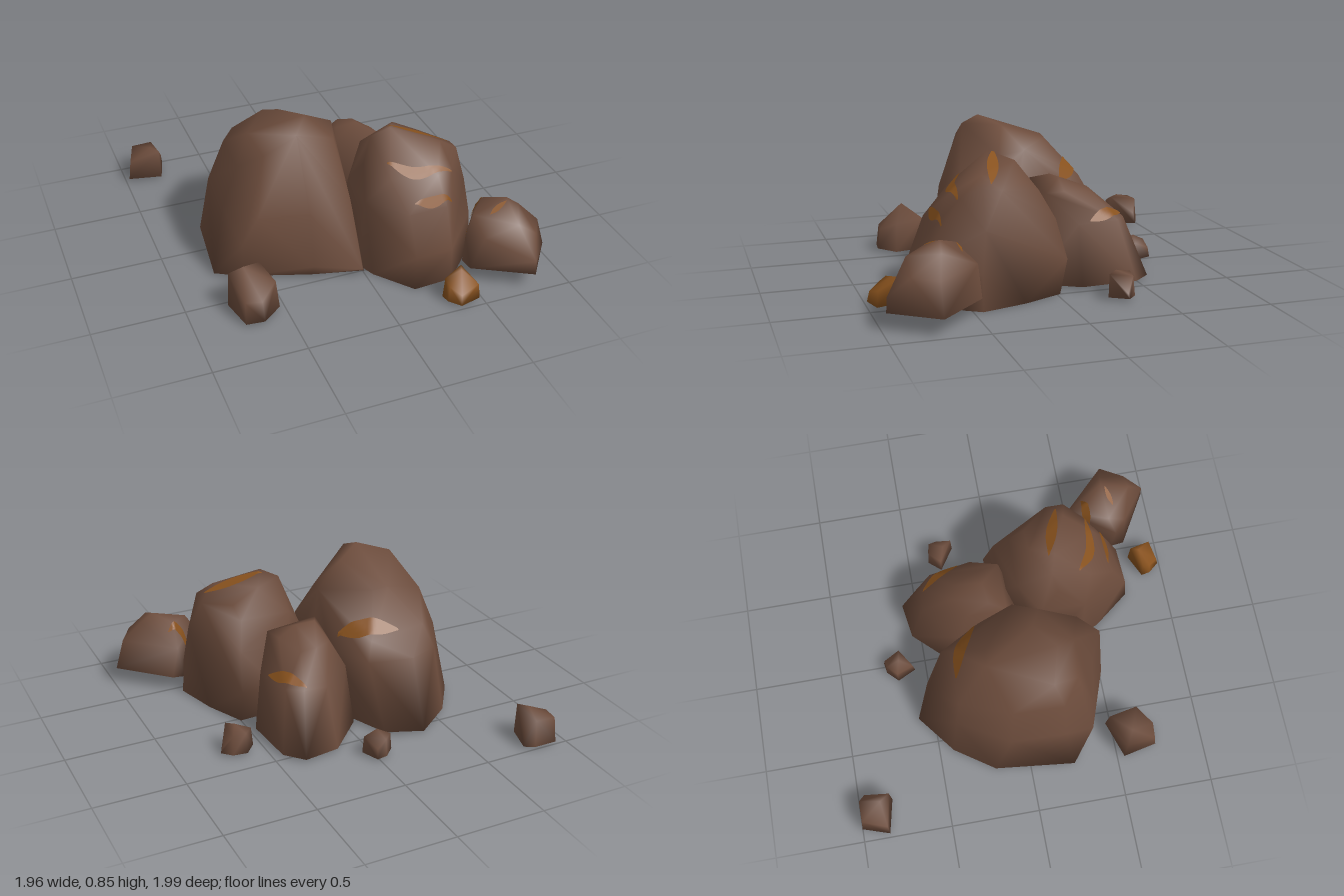
import * as THREE from 'three';
import { ConvexGeometry } from 'three/addons/geometries/ConvexGeometry.js';
import { mergeVertices } from 'three/addons/utils/BufferGeometryUtils.js';

const stone = new THREE.MeshStandardMaterial({ color: 0x6c4c3c });
stone.name = 'brown stone';
const ore = new THREE.MeshStandardMaterial({ color: 0x87511d });
ore.name = 'orange ore';

// Smoothly shaded rock hull around a few key points
function rock(name, points, material = stone) {
  let geo = new ConvexGeometry(points.map((p) => new THREE.Vector3(...p)));
  geo.deleteAttribute('normal');
  geo = mergeVertices(geo, 1e-4);
  geo.computeVertexNormals();
  const mesh = new THREE.Mesh(geo, material);
  mesh.name = name;
  return mesh;
}

// Horizontal ring of points at height y
const ring = (y, xz) => xz.map(([x, z]) => [x, y, z]);

// Loose stone: footprint corners [x, z, height of the corner], plus a peak
function looseStone(name, corners, peak, material) {
  const base = corners.map(([x, z]) => [x, 0.015, z]);
  const shoulder = corners.map(([x, z, h]) =>
    [x + (peak[0] - x) * 0.1, h, z + (peak[2] - z) * 0.1]);
  return rock(name, [...base, ...shoulder, peak], material);
}

// Thin ore streak: a tapered ribbon along a top-down path, draped onto a rock
function streak(name, target, path, width) {
  const curve = new THREE.CatmullRomCurve3(path.map(([x, z]) => new THREE.Vector3(x, 0, z)));
  const caster = new THREE.Raycaster();
  const down = new THREE.Vector3(0, -1, 0);
  const pos = [], index = [], n = 20, m = 4;
  target.updateMatrixWorld();
  for (let i = 0; i <= n; i++) {
    const t = i / n, p = curve.getPoint(t), d = curve.getTangent(t);
    const half = 0.5 * width * Math.sin(Math.PI * (0.03 + 0.94 * t));
    for (let j = 0; j <= m; j++) {
      const s = (j / m * 2 - 1) * half;
      const from = new THREE.Vector3(p.x - d.z * s, 2, p.z + d.x * s);
      caster.set(from, down);
      const hit = caster.intersectObject(target)[0];
      const q = hit ? hit.point.addScaledVector(hit.face.normal, 0.005) : from.setY(0.1);
      pos.push(q.x, q.y, q.z);
      if (i < n && j < m) {
        const a = i * (m + 1) + j, b = a + m + 1;
        index.push(a, a + 1, b, b, a + 1, b + 1);
      }
    }
  }
  const geo = new THREE.BufferGeometry();
  geo.setAttribute('position', new THREE.Float32BufferAttribute(pos, 3));
  geo.setIndex(index);
  geo.computeVertexNormals();
  const mesh = new THREE.Mesh(geo, ore);
  mesh.name = name;
  return mesh;
}

export function createModel() {
  const group = new THREE.Group();
  group.name = 'rockPile';

  // Tall boulder on the right
  const tall = rock('tallBoulder', [
    ...ring(0.015, [[-0.77, 0.25], [-0.72, -0.2], [-0.57, -0.42], [-0.35, -0.59], [-0.15, -0.51],
      [0, -0.15], [0.03, 0.13], [0, 0.52], [-0.28, 0.45], [-0.63, 0.33]]),
    [-0.64, 0.24, 0.37], [-0.28, 0.1, 0.5], [-0.02, 0.05, 0.55],
    ...ring(0.4, [[-0.69, 0.2], [-0.68, -0.1], [-0.52, -0.38], [-0.35, -0.45], [-0.1, -0.4], [0.01, -0.14],
      [0.01, 0.2], [-0.03, 0.39], [-0.28, 0.43], [-0.55, 0.38]]),
    [-0.6, 0.63, 0.2], [-0.59, 0.63, -0.08], [-0.46, 0.54, -0.35], [-0.14, 0.5, -0.35], [-0.01, 0.51, -0.17],
    [-0.52, 0.79, 0.15], [-0.33, 0.85, 0.2], [-0.18, 0.805, 0.1], [-0.3, 0.81, 0.3], [-0.48, 0.72, 0.29],
    [0, 0.69, 0.02], [-0.04, 0.66, 0.16], [-0.33, 0.72, -0.18], [-0.24, 0.71, -0.17],
  ]);

  // Front boulder on the left
  const front = rock('frontBoulder', [
    ...ring(0, [[-0.03, 0.2], [0, 0.45], [0.04, 0.55], [0.2, 0.755], [0.42, 0.74],
      [0.62, 0.53], [0.67, 0.45], [0.6, 0.2], [0.5, -0.02], [0.17, 0]]),
    ...ring(0.19, [[0.5, -0.06], [0.3, -0.06], [0.21, 0.74], [0.42, 0.73], [0.66, 0.45], [0, 0.3]]),
    ...ring(0.41, [[0.63, 0.42], [0.2, 0.65], [0.42, 0.64], [0.03, 0.45], [0.03, 0.2], [0.48, 0], [0.2, 0]]),
    ...ring(0.56, [[0.15, 0.5], [0.4, 0.56], [0.5, 0.52], [0.08, 0.3], [0.44, 0.08], [0.15, 0.08]]),
    [0.57, 0.62, 0.42], [0.58, 0.6, 0.32], [0.13, 0.7, 0.27], [0.23, 0.75, 0.3], [0.48, 0.67, 0.4],
    [0.3, 0.7, 0.17], [0.45, 0.62, 0.17],
  ]);

  // Back boulder on the left, with a low outer shoulder
  const back = rock('backBoulder', [
    ...ring(0.015, [[-0.05, -0.33], [0.16, -0.55], [0.36, -0.58], [0.45, -0.48], [0.47, -0.16], [0.33, 0.08],
      [0.1, 0.15], [0, 0.06]]),
    ...ring(0.35, [[-0.02, -0.28], [0.18, -0.46], [0.31, -0.45], [0.39, -0.39], [0.43, -0.15]]),
    [0.03, 0.54, 0], [0.08, 0.565, -0.1], [0.2, 0.57, -0.11], [0.3, 0.51, -0.11],
    [0.25, 0.49, -0.28], [0.16, 0.5, -0.29], [0.05, 0.49, -0.22], [0.32, 0.51, 0],
  ]);

  // Low boulder at the front left corner, raised a little
  const low = rock('lowBoulder', [
    ...ring(0.09, [[0.66, 0.46], [0.72, 0.47], [0.98, 0.73], [0.8, 0.975], [0.5, 0.8], [0.49, 0.72]]),
    [0.8, 0.17, 0.97], [0.49, 0.27, 0.74], [0.68, 0.26, 0.48], [0.93, 0.26, 0.73], [0.57, 0.27, 0.81],
    [0.55, 0.36, 0.7], [0.66, 0.38, 0.59], [0.75, 0.42, 0.69], [0.82, 0.37, 0.7], [0.74, 0.35, 0.86], [0.85, 0.27, 0.86],
  ]);
  group.add(tall, front, back, low);

  // Loose stones scattered around
  group.add(
    looseStone('farStone', [[-0.93, -1, 0.16], [-0.8, -1, 0.165], [-0.745, -0.97, 0.08], [-0.79, -0.81, 0.19],
      [-0.98, -0.85, 0.13]], [-0.83, 0.195, -0.87]),
    looseStone('backStone', [[-0.1, -0.67, 0.11], [-0.04, -0.73, 0.11], [0.02, -0.74, 0.07], [0.06, -0.64, 0.11],
      [-0.05, -0.565, 0.08]], [-0.02, 0.145, -0.65]),
    looseStone('leftStone', [[0.55, -0.31, 0.12], [0.61, -0.38, 0.13], [0.69, -0.37, 0.12], [0.74, -0.32, 0.04],
      [0.68, -0.225, 0.14]], [0.64, 0.15, -0.28]),
    looseStone('rightStone', [[-0.78, 0.54, 0.22], [-0.57, 0.47, 0.2], [-0.53, 0.65, 0.18], [-0.64, 0.74, 0.13],
      [-0.74, 0.73, 0.14]], [-0.7, 0.27, 0.58]),
    looseStone('oreStone', [[0.3, 0.88, 0.13], [0.43, 0.82, 0.15], [0.48, 0.96, 0.1], [0.36, 0.99, 0.07],
      [0.31, 0.93, 0.1]], [0.41, 0.155, 0.87], ore),
  );

  // Ore streaks
  group.add(
    streak('tallBoulderStreak', tall, [[-0.31, -0.34], [-0.15, -0.285], [-0.02, -0.19]], 0.07),
    streak('backBoulderStreak', back, [[0.29, -0.44], [0.36, -0.34], [0.41, -0.22]], 0.05),
    streak('frontBoulderTopStreak', front, [[0.23, 0.27], [0.38, 0.315], [0.54, 0.37]], 0.06),
    streak('frontBoulderMiddleStreak', front, [[0.16, 0.43], [0.28, 0.515], [0.49, 0.53]], 0.05),
    streak('frontBoulderLowerStreak', front, [[0.24, 0.62], [0.34, 0.625], [0.46, 0.61]], 0.03),
    streak('lowBoulderBackStreak', low, [[0.57, 0.6], [0.63, 0.585], [0.7, 0.57]], 0.04),
    streak('lowBoulderTopStreak', low, [[0.63, 0.74], [0.68, 0.725], [0.74, 0.71]], 0.03),
  );
  return group;
}
